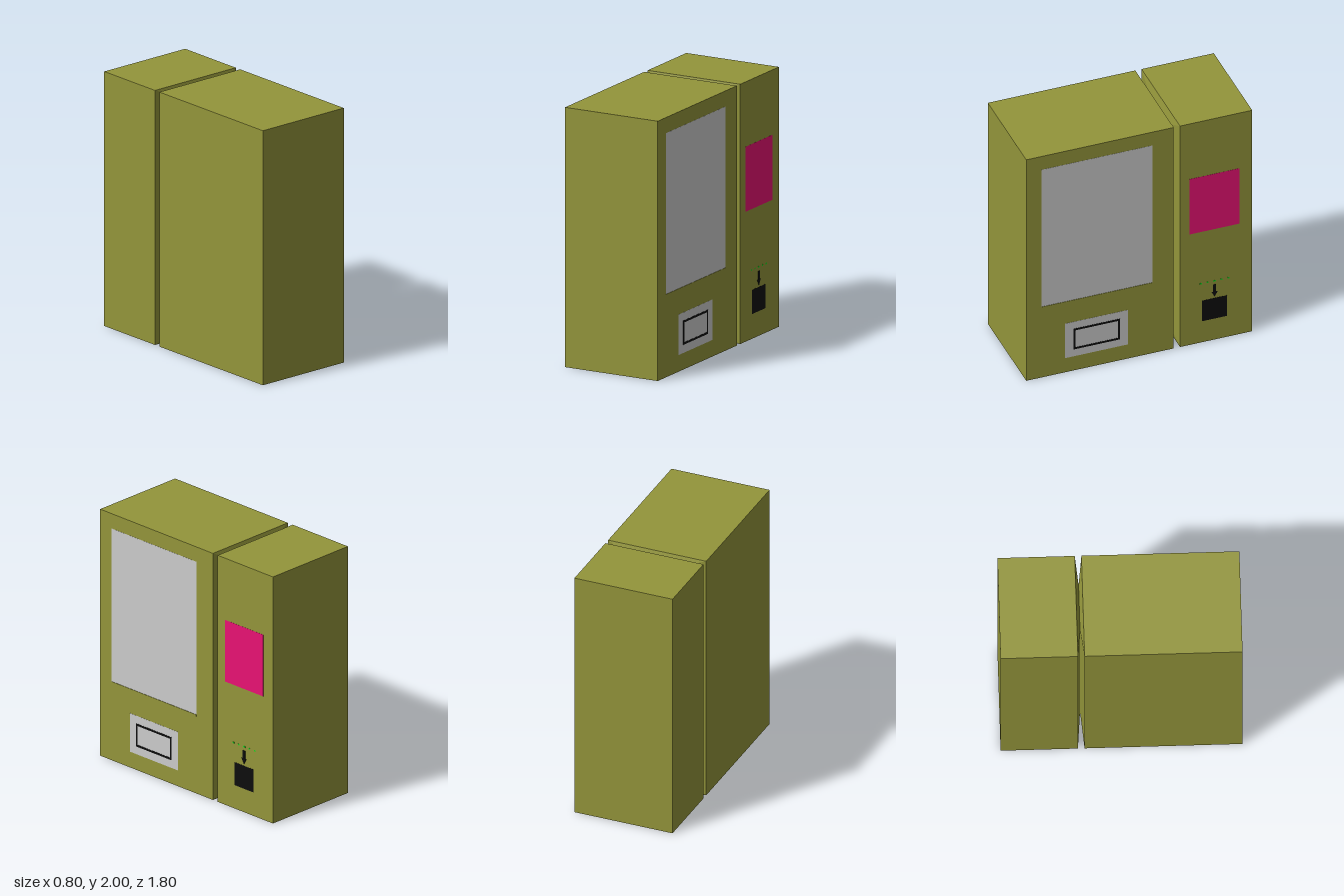
import * as THREE from 'three';

const OLIVE = 0x93953a, GREY = 0xcccccc, BLACK = 0x0d0d0d, PINK = 0xe91273, GREEN = 0x17d61f;
const FACE = 0.396; // x of the machine's service face

function createMesh(name, geometry, color) {
  const mesh = new THREE.Mesh(geometry, new THREE.MeshStandardMaterial({ color }));
  mesh.name = name;
  return mesh;
}

// Thin plate on the service face, spanning z0..z1 and y0..y1, standing out by "out"
function plate(name, color, z0, z1, y0, y1, out = 0.001) {
  const depth = out + 0.004;
  const mesh = createMesh(name, new THREE.BoxGeometry(depth, y1 - y0, z1 - z0), color);
  mesh.position.set(FACE + out - depth / 2, (y0 + y1) / 2, (z0 + z1) / 2);
  return mesh;
}

// Cabinet: a box with a loop pinched inward to form the V groove between its two sections
function cabinet() {
  const box = new THREE.BoxGeometry(2, 2, 4, 1, 1, 4);
  const loops = [-0.9, -0.325, -0.302, -0.275, 0.9];
  const p = box.attributes.position;
  for (let i = 0; i < p.count; i++) {
    const k = Math.round(p.getZ(i) + 2);
    const neck = k === 2;
    const right = p.getX(i) > 0, top = p.getY(i) > 0;
    const x = neck ? (right ? 0.2 : -0.15) : (right ? FACE : -0.4);
    const y = neck ? (top ? 1.9 : 0.11) : (top ? 2 : 0);
    p.setXYZ(i, x, y, loops[k]);
  }
  const geometry = box.toNonIndexed();
  geometry.computeVertexNormals();
  return createMesh('cabinet', geometry, OLIVE);
}

// Rectangular outline on the flap
function flapOutline() {
  const s = new THREE.Shape();
  s.moveTo(-0.185, -0.093).lineTo(0.185, -0.093).lineTo(0.185, 0.093).lineTo(-0.185, 0.093);
  const h = new THREE.Path();
  h.moveTo(-0.169, -0.077).lineTo(-0.169, 0.077).lineTo(0.169, 0.077).lineTo(0.169, -0.077);
  s.holes.push(h);
  return flatShape('flapOutline', s, 0.284, 0.34);
}

// Arrow pointing down to the slot
function arrow() {
  const s = new THREE.Shape();
  s.moveTo(-0.012, 0.055).lineTo(-0.012, -0.01).lineTo(-0.025, -0.01).lineTo(0, -0.055);
  s.lineTo(0.025, -0.01).lineTo(0.012, -0.01).lineTo(0.012, 0.055);
  return flatShape('slotArrow', s, 0.445, -0.6);
}

// Shape extruded slightly and turned to face +x
function flatShape(name, shape, y, z) {
  const g = new THREE.ExtrudeGeometry(shape, { depth: 0.004, bevelEnabled: false });
  const mesh = createMesh(name, g, BLACK);
  mesh.rotation.y = Math.PI / 2;
  mesh.position.set(FACE - 0.001, y, z);
  return mesh;
}

export function createModel() {
  const model = new THREE.Group();
  model.name = 'vendingMachine';
  model.add(
    cabinet(),
    // Display window with its sill
    plate('displayWindow', GREY, -0.105, 0.78, 0.64, 1.88),
    plate('windowSill', OLIVE, -0.105, 0.78, 0.625, 0.64, 0.004),
    // Delivery flap
    plate('deliveryFlap', GREY, 0.09, 0.59, 0.128, 0.44),
    flapOutline(),
    // Payment side
    plate('pricePanel', PINK, -0.8, -0.4, 1.0, 1.5),
    plate('slot', BLACK, -0.7, -0.5, 0.19, 0.376),
    arrow()
  );
  // Row of small indicator marks above the slot
  for (let i = -2; i <= 2; i++) {
    const w = i === 0 ? 0.012 : 0.008;
    const z = -0.6 + i * 0.055;
    model.add(plate('indicatorMark', GREEN, z - w, z + w, 0.525, 0.537));
  }
  return model;
}
